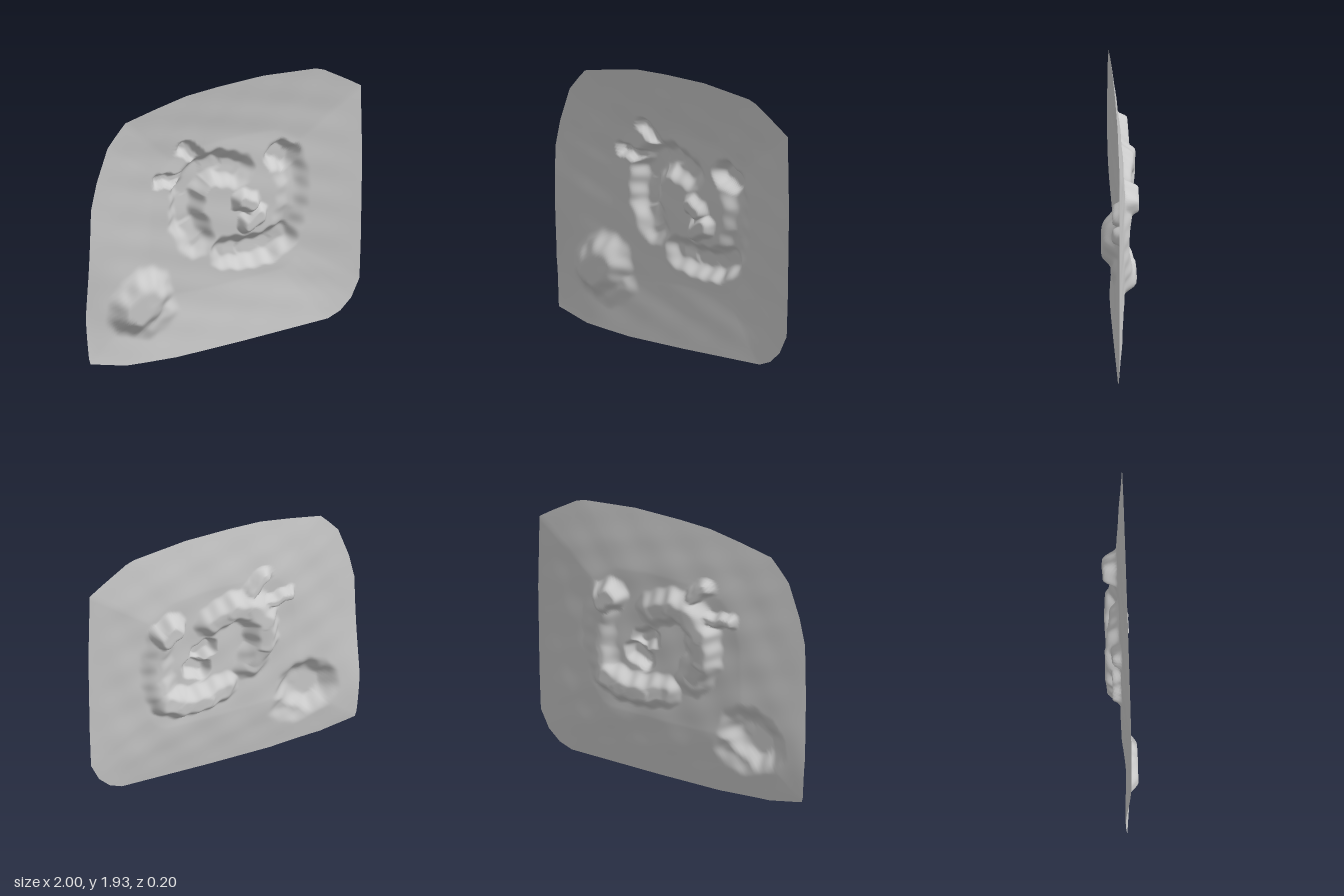
import * as THREE from 'three';

const clamp = THREE.MathUtils.clamp;
const smooth = (t) => { t = clamp(t, 0, 1); return t * t * (3 - 2 * t); };

// Outer edge of the sheet, counter-clockwise from the lower left corner
const OUTLINE = [
  [-0.97, 0.06], [-0.72, 0.01], [-0.35, 0], [0.1, 0.02], [0.75, 0.06], [0.84, 0.1], [0.92, 0.18],
  [0.98, 0.31], [0.99, 0.6], [1, 1.2], [0.99, 1.72], [0.9, 1.78], [0.72, 1.89], [0.66, 1.91],
  [0.28, 1.935], [-0.05, 1.92], [-0.28, 1.9], [-0.5, 1.85], [-0.73, 1.79], [-0.79, 1.72],
  [-0.86, 1.63], [-0.94, 1.39], [-0.98, 1.2], [-1, 0.4], [-0.98, 0.1],
];

// Channels pressed backwards: points are [x, y, depth], width is the half width, core the flat floor
const CHANNELS = [
  { width: 0.14, core: 0.04, pts: [[-0.18, 0.8, 0.05], [-0.26, 0.97, 0.09], [-0.25, 1.16, 0.1], [-0.17, 1.28, 0.1], [-0.04, 1.31, 0.085], [0.11, 1.25, 0.06]] }, // long arc
  { width: 0.06, core: 0.02, pts: [[-0.17, 1.39, 0.06], [-0.24, 1.47, 0.06], [-0.28, 1.5, 0.06]] }, // upper spur
  { width: 0.055, core: 0.02, pts: [[-0.27, 1.27, 0.06], [-0.36, 1.27, 0.06], [-0.46, 1.29, 0.06]] }, // side spur
  { width: 0.12, core: 0.045, pts: [[0.42, 1.3, 0.1], [0.47, 1.26, 0.1]] }, // eye
  { width: 0.13, core: 0.01, pts: [[0.48, 1.25, 0.06], [0.52, 1.08, 0.04], [0.51, 0.9, 0.035], [0.46, 0.72, 0.07]] }, // cheek
  { width: 0.13, core: 0.04, pts: [[0.03, 0.67, 0.06], [0.18, 0.64, 0.085], [0.34, 0.65, 0.09], [0.45, 0.71, 0.08]] }, // mouth
];

// Small steep lumps and one big one standing forwards
const LUMPS = [
  { width: 0.085, core: 0.03, pts: [[0.14, 1.03, 0.06], [0.2, 1.01, 0.065]] },
  { width: 0.08, core: 0.03, pts: [[0.18, 0.86, 0.065], [0.26, 0.91, 0.065]] },
  { width: 0.05, core: 0.01, pts: [[0.2, 1.0, 0.04], [0.22, 0.9, 0.04]] },
  { width: 0.22, core: 0.06, pts: [[-0.64, 0.41, 0.1], [-0.57, 0.47, 0.1]] },
  { width: 0.12, core: 0.02, pts: [[-0.55, 0.27, 0.025], [-0.43, 0.34, 0.025]] },
];

// Height of a rounded stroke at a point
function stroke({ pts, width, core }, x, y) {
  let best = 0;
  for (let i = 0; i + 1 < pts.length; i++) {
    const [ax, ay, ad] = pts[i], [bx, by, bd] = pts[i + 1];
    const dx = bx - ax, dy = by - ay;
    const t = clamp(((x - ax) * dx + (y - ay) * dy) / (dx * dx + dy * dy), 0, 1);
    const d = Math.hypot(x - ax - dx * t, y - ay - dy * t);
    best = Math.max(best, (ad + (bd - ad) * t) * smooth((width - d) / (width - core)));
  }
  return best;
}

// Shallow dish with the relief pushed into it
function depthAt(x, y, t) {
  const corner = Math.exp(-(((x + 1) / 0.25) ** 2 + ((y - 0.3) / 0.4) ** 2));
  let z = (0.05 - 0.04 * corner) * clamp((t - 0.55) / 0.45, 0, 1) ** 1.2;
  // slight hand-worked unevenness
  const rough = Math.sin(x * 13 + y * 7) * Math.sin(y * 17 - x * 5);
  const inner = clamp((1 - t) * 4, 0, 1);
  z += 0.003 * rough * inner;
  const wx = x + 0.007 * Math.sin(y * 47 + x * 11), wy = y + 0.007 * Math.sin(x * 53 - y * 9);
  const down = Math.max(...CHANNELS.map((c) => stroke(c, wx, wy)));
  const up = Math.max(...LUMPS.map((c) => stroke(c, wx, wy)));
  return clamp(z - down + up, -0.105, 0.102);
}

function reliefGeometry() {
  const steps = 9, rings = 90, cx = 0.05, cy = 0.97;
  const rim = [];
  OUTLINE.forEach(([ax, ay], i) => {
    const [bx, by] = OUTLINE[(i + 1) % OUTLINE.length];
    // longer edges get more divisions
    const n = Math.max(2, Math.round(Math.hypot(bx - ax, by - ay) * 3.5 * steps));
    for (let k = 0; k < n; k++) rim.push([ax + (bx - ax) * k / n, ay + (by - ay) * k / n]);
  });
  const n = rim.length;
  const pos = [cx, cy, depthAt(cx, cy, 0)];
  const index = [];
  for (let r = 1; r <= rings; r++) {
    const t = r / rings;
    for (const [rx, ry] of rim) {
      const x = cx + (rx - cx) * t, y = cy + (ry - cy) * t;
      pos.push(x, y, depthAt(x, y, t));
    }
  }
  for (let k = 0; k < n; k++) {
    const j = (k + 1) % n;
    index.push(0, 1 + k, 1 + j);
    for (let r = 0; r < rings - 1; r++) {
      const a = 1 + r * n + k, b = 1 + r * n + j;
      index.push(a, a + n, b + n, a, b + n, b);
    }
  }
  const g = new THREE.BufferGeometry();
  g.setAttribute('position', new THREE.Float32BufferAttribute(pos, 3));
  g.setIndex(index);
  g.computeVertexNormals();
  return g;
}

export function createModel() {
  const group = new THREE.Group();
  group.name = 'reliefPanel';
  const material = new THREE.MeshStandardMaterial({ color: 0xcccccc, side: THREE.DoubleSide });
  const sheet = new THREE.Mesh(reliefGeometry(), material);
  sheet.name = 'reliefSheet';
  group.add(sheet);
  return group;
}
